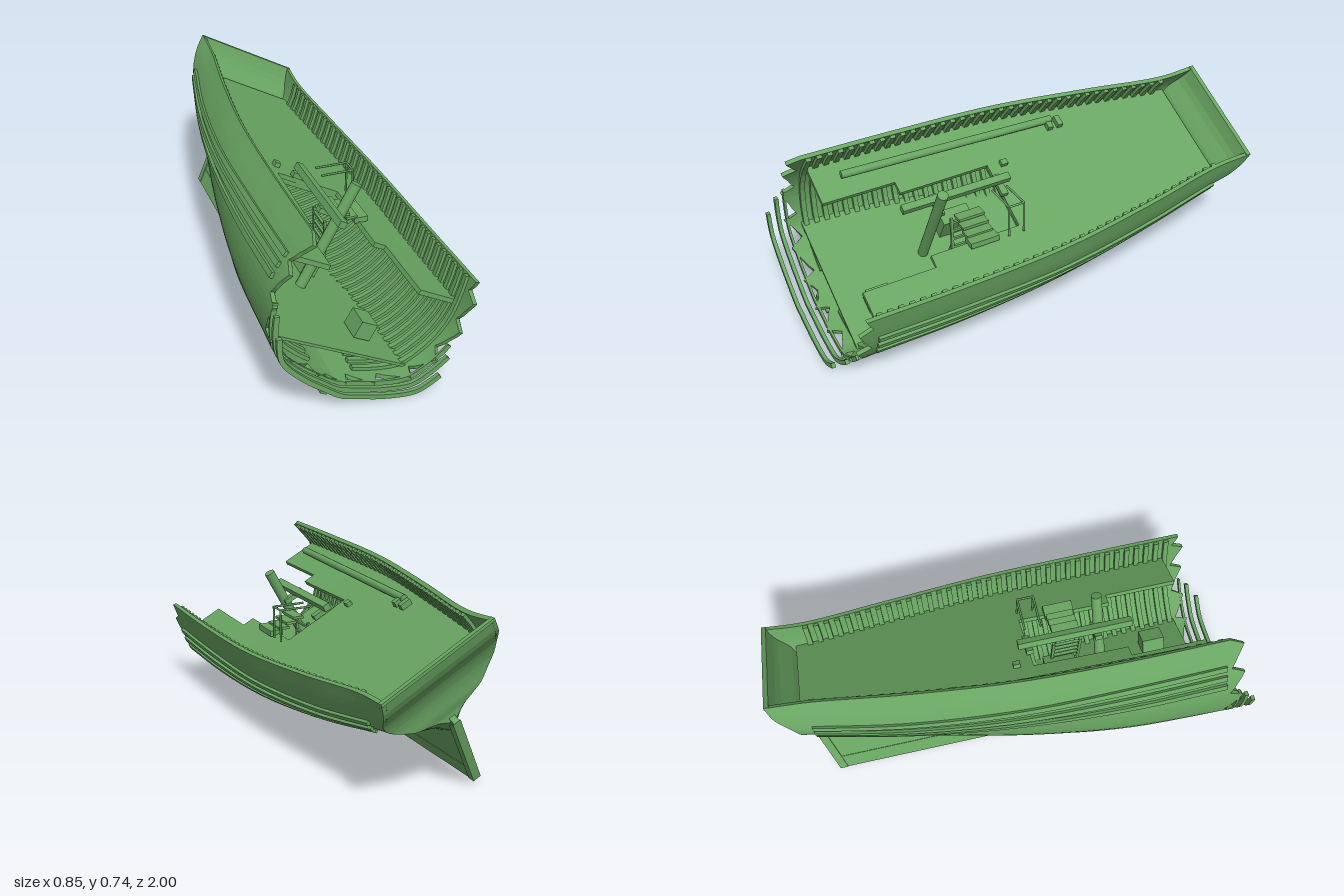
import * as THREE from 'three';

const green = new THREE.MeshStandardMaterial({ color: 0x69a562, side: THREE.DoubleSide });
green.name = 'weathered green';
const V = (x, y, z) => new THREE.Vector3(x, y, z);

// Half sections of the hull (half width, height) from keel to rail, broken end to stern
const sections = [
  [.012, .06, .085, .074, .187, .096, .308, .145, .356, .204, .405, .314, .418, .42, .405, .52, .381, .617],
  [.012, .06, .09, .08, .19, .108, .29, .155, .35, .22, .395, .32, .415, .42, .403, .52, .38, .615],
  [.012, .065, .08, .1, .16, .145, .25, .205, .32, .275, .37, .36, .392, .43, .388, .52, .365, .62],
  [.012, .15, .05, .18, .11, .225, .18, .285, .25, .34, .305, .4, .333, .45, .332, .53, .312, .632],
  [.012, .27, .05, .31, .1, .34, .15, .37, .2, .41, .25, .46, .275, .5, .275, .57, .258, .65],
  [.012, .33, .06, .36, .11, .38, .16, .4, .21, .44, .25, .48, .267, .53, .265, .6, .257, .667]
];
const stationZ = [.9, .45, 0, -.45, -.82];
const sternZ = [-.87, -.87, -.875, -.88, -.885, -.895, -.92, -.975, -1];
const rows = sternZ.map((sz, r) => new THREE.CatmullRomCurve3(
  sections.map((s, i) => V(s[2 * r], s[2 * r + 1], i < 5 ? stationZ[i] : sz))));

const cache = new Map();
function section(k) {
  if (!cache.has(k)) cache.set(k, new THREE.CatmullRomCurve3(rows.map(c => c.getPoint(k))));
  return cache.get(k);
}
// Station parameter (0 to 1) for a given z
function kAt(z) {
  let a = 0, b = 1;
  for (let i = 0; i < 24; i++) {
    const m = (a + b) / 2;
    if (rows[4].getPoint(m).z > z) a = m; else b = m;
  }
  return a;
}
// Point on the hull: s runs 0 (keel) to 8 (rail), inset moves it inboard
function hullPoint(k, s, side, inset = 0) {
  const c = section(k), p = c.getPoint(s / 8), t = c.getTangent(s / 8);
  return V(side * Math.max(0, p.x - inset * t.y), p.y + inset * t.x, p.z);
}
function halfWidth(z, height) {
  const k = kAt(z);
  let a = 0, b = 8;
  for (let i = 0; i < 18; i++) {
    const m = (a + b) / 2;
    if (hullPoint(k, m, 1).y < height) a = m; else b = m;
  }
  return Math.max(.005, hullPoint(k, a, 1, .012).x);
}
// Flat-faceted skin through a row of rings
function loft(rings, closed = true) {
  const n = rings[0].length, pos = [], idx = [];
  rings.forEach(r => r.forEach(p => pos.push(p.x, p.y, p.z)));
  for (let i = 0; i < rings.length - 1; i++)
    for (let j = 0; j < (closed ? n : n - 1); j++) {
      const a = i * n + j, b = i * n + (j + 1) % n;
      idx.push(a, b, a + n, b, b + n, a + n);
    }
  if (closed && n === 4) {
    const e = (rings.length - 1) * 4;
    idx.push(0, 2, 1, 0, 3, 2, e, e + 1, e + 2, e, e + 2, e + 3);
  }
  let g = new THREE.BufferGeometry();
  g.setAttribute('position', new THREE.Float32BufferAttribute(pos, 3));
  g.setIndex(idx);
  g = g.toNonIndexed();
  g.computeVertexNormals();
  return g;
}
const steps = (n, a, b) => Array.from({ length: n + 1 }, (_, i) => a + (b - a) * i / n);

export function createModel() {
  const model = new THREE.Group();
  const ship = new THREE.Group();
  ship.name = 'heeledWreck';
  ship.rotation.z = -.497;
  ship.position.set(-.21, .02, 0);
  model.add(ship);
  const add = (name, geo, parent = ship) => {
    const m = new THREE.Mesh(geo, green);
    m.name = name;
    parent.add(m);
    return m;
  };
  const box = (name, w, h, d, x, y, z, parent) => {
    const m = add(name, new THREE.BoxGeometry(w, h, d), parent);
    m.position.set(x, y, z);
    return m;
  };
  const rod = (name, a, b, r, parent, sides = 10) => {
    const m = add(name, new THREE.CylinderGeometry(r, r, a.distanceTo(b), sides), parent);
    m.position.copy(a).lerp(b, .5);
    m.quaternion.setFromUnitVectors(V(0, 1, 0), b.clone().sub(a).normalize());
  };

  // Hull shell with a splintered front edge
  const N = 30, stern = [];
  const ks = [0, ...steps(36, .012, 1)];
  const around = [];
  for (let j = N; j >= -N; j--) around.push(j);
  const rings = ks.map((k, i) => {
    const skin = inset => around.map(j => {
      const p = hullPoint(k, 8 * Math.abs(j) / N, j < 0 ? -1 : 1, inset);
      if (i === 0) p.z += [.0, .028, -.012, .015, -.03][Math.abs(j * 3 + (j < 0 ? 1 : 0)) % 5];
      return p;
    });
    return [...skin(0), ...skin(.018).reverse()];
  });
  add('hullShell', loft(rings));
  const first = rings[0], last2 = first.length - 1;
  add('brokenEdge', loft([first.slice(0, 2 * N + 1), around.map((_, j) => first[last2 - j])], false));

  // Raked transom
  for (const s of steps(20, 0, 8)) stern.push([hullPoint(1, s, -1), hullPoint(1, s, 1)]);
  add('transom', loft(stern, false));
  add('transomInside', loft(stern.map(r => r.map(p => V(p.x, p.y, p.z + .02))), false));
  add('transomRail', loft([-1, 1].map(d => {
    const p = hullPoint(1, 8, d);
    return [V(p.x, p.y, -1), V(p.x, p.y, -.98), V(p.x, p.y - .012, -.98), V(p.x, p.y - .012, -1)];
  })));

  // Ribs inside, rails on top, wales outside
  for (const side of [1, -1]) {
    for (let z = .84; z > -.82; z -= .046) {
      const k = kAt(z);
      add('rib', loft(steps(12, 1.2, 7.95).map(s => {
        const a = hullPoint(k, s, side, .012), b = hullPoint(k, s, side, .032);
        return [V(a.x, a.y, z - .011), V(a.x, a.y, z + .011), V(b.x, b.y, z + .011), V(b.x, b.y, z - .011)];
      })));
    }
    [5.85, 6.3, 6.75].forEach(s0 => add('wale', loft(steps(30, .85, -.83).map(z => {
      const k = kAt(z), s = s0 - .45 * k;
      return [hullPoint(k, s - .11, side, -.013), hullPoint(k, s + .11, side, -.013),
        hullPoint(k, s + .11, side, .005), hullPoint(k, s - .11, side, .005)];
    }))));
  }

  // Loose frames standing ahead of the break
  [[.915, 5.2, .01], [.95, 4.9, .016], [.991, 4.35, .016]].forEach(([z, top, w]) =>
    add('bareFrame', loft(steps(40, top, -top).map(q => {
      const a = hullPoint(0, Math.abs(q), q < 0 ? -1 : 1, 0), b = hullPoint(0, Math.abs(q), q < 0 ? -1 : 1, .02);
      return [V(a.x, a.y, z - w / 2), V(a.x, a.y, z + w / 2), V(b.x, b.y, z + w / 2), V(b.x, b.y, z - w / 2)];
    }))));

  // Keel, deadwood and sternpost
  box('keel', .03, .07, 1.7, 0, .035, .05);
  box('keelPlank', .16, .012, .06, 0, .07, .86);
  const slab = (name, pts, w) => {
    const g = new THREE.ExtrudeGeometry(new THREE.Shape(pts.map(p => new THREE.Vector2(...p))),
      { depth: w, bevelEnabled: false });
    g.translate(0, 0, -w / 2).rotateY(-Math.PI / 2);
    add(name, g);
  };
  slab('deadwood', [[.35, .01], [.35, .07], [0, .08], [-.45, .17], [-.8, .29], [-.87, .35], [-.89, .33], [-.81, 0]], .026);
  slab('sternpost', [[-.78, 0], [-.85, .31], [-.89, .33], [-.815, 0]], .036);

  // Decks following the hull sides
  const deckY = z => .49 + .04 * Math.pow(Math.max(0, (.5 - z) / 1.35), 1.3);
  const deck = (name, z0, z1, yAt, thick, inner, side) => add(name, loft(steps(16, z0, z1).map(z => {
    const y = yAt(z), w = halfWidth(z, y), a = inner === null ? -w : side * inner, b = inner === null ? w : side * w;
    return [V(a, y, z), V(b, y, z), V(b, y - thick, z), V(a, y - thick, z)];
  })));
  for (const side of [1, -1]) {
    deck('sideDeckForward', .83, .51, deckY, .02, .21, side);
    deck('sideDeck', .51, .1, deckY, .02, .155, side);
  }
  deck('mainDeck', .1, -.88, deckY, .02, null);
  deck('lowerDeck', .86, -.38, () => .178, .012, null);
  for (const z of [-.6, -.35, -.1, .08]) {
    const w = halfWidth(z, .46);
    box('deckBeam', 2 * w, .022, .03, 0, deckY(z) - .03, z);
  }

  // Mast stump, fore and aft beam, spar lying on deck
  rod('mast', V(0, .09, .42), V(0, .672, .42), .023, ship, 14);
  box('foreAndAftBeam', .032, .03, .5, -.055, .54, .305);
  box('beamChock', .1, .022, .03, -.04, .515, .4);
  box('beamChock', .1, .022, .03, -.04, .515, .1);
  rod('deckSpar', V(-.296, .525, .72), V(-.27, .53, -.27), .017, ship, 12);
  [-.25, -.3].forEach(z => box('sparChock', .05, .025, .025, -.25, .525, z));
  box('deckCleat', .025, .02, .03, -.14, .51, .03);

  // Chests on the lower deck
  box('chest', .075, .075, .1, .149, .219, .7);
  box('storageBlock', .07, .115, .14, -.075, .238, .25);
  box('storageBlock', .07, .115, .14, .075, .238, .25);

  // Upright companionway frame and ladder
  const companion = new THREE.Group();
  companion.name = 'companionway';
  model.add(companion);
  for (const z of [.1, .17]) {
    rod('handrail', V(.06, .522, z), V(.202, .522, z), .005, companion, 6);
    rod('railPost', V(.202, .525, z), V(.202, .38, z), .005, companion, 6);
  }
  rod('railTie', V(.202, .522, .1), V(.202, .522, .17), .005, companion, 6);
  for (const z of [.22, .34]) box('ladderSide', .012, .22, .012, .01, .3, z, companion);
  for (let i = 0; i < 5; i++) box('ladderRung', .012, .01, .12, .01, .22 + i * .042, .28, companion);
  for (let i = 0; i < 4; i++) box('stairTread', .05, .012, .12, .06 + i * .035, .44 - i * .02, .28, companion);
  box('stairFoot', .06, .025, .13, .17, .385, .28, companion);
  return model;
}
